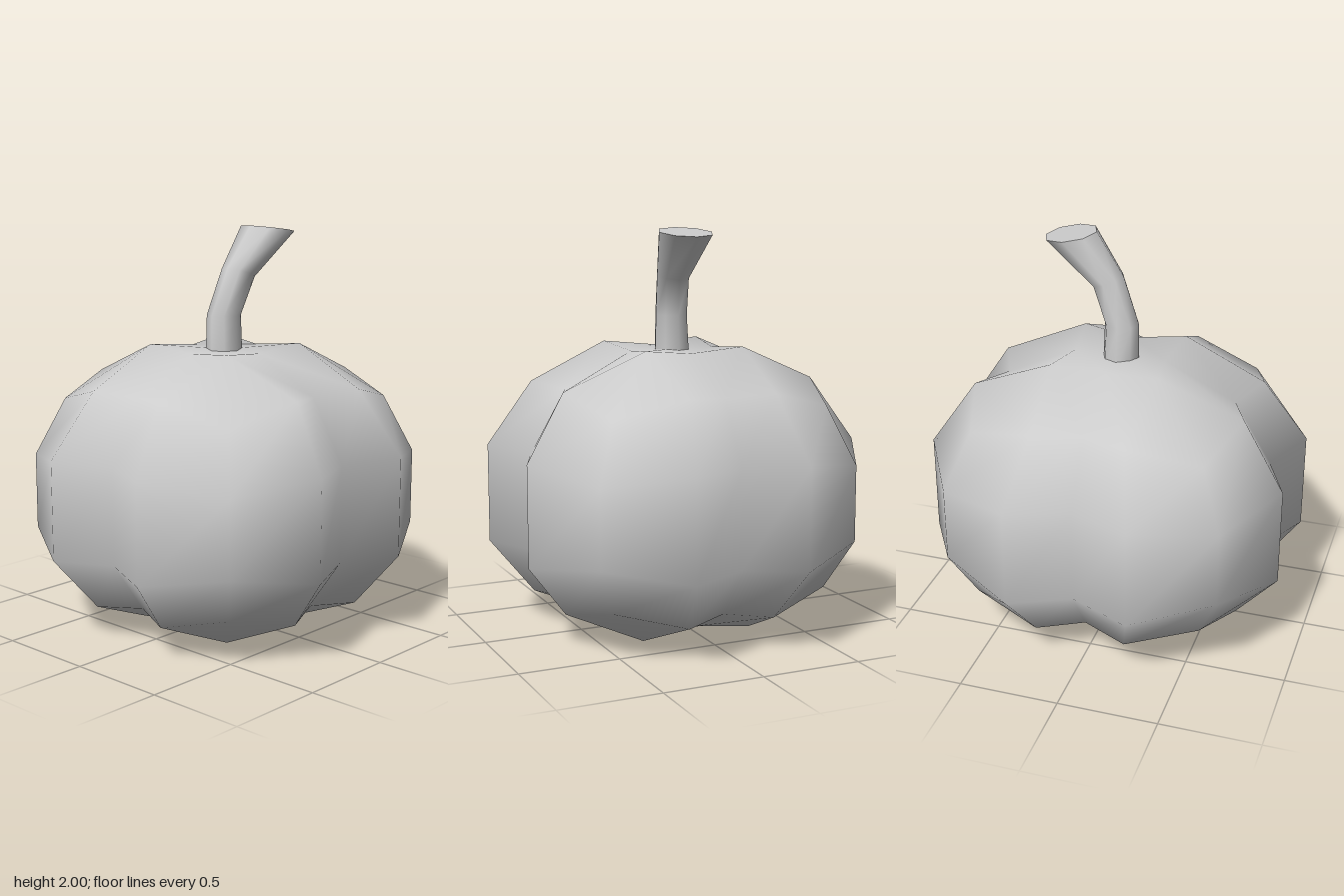
import * as THREE from 'three';
import { mergeVertices } from 'three/addons/utils/BufferGeometryUtils.js';

const material = new THREE.MeshStandardMaterial({ color: 0xcccccc });

// Weld split vertices, then shade smoothly
function smooth(geometry) {
  geometry.deleteAttribute('uv');
  const welded = mergeVertices(geometry, 1e-4);
  welded.computeVertexNormals();
  return welded;
}

// Body: a gridded box cast to a squat ball, pinched into four lobes
function createBody() {
  const geometry = new THREE.BoxGeometry(2, 2, 2, 4, 3, 4);
  geometry.deleteAttribute('normal');
  const pos = geometry.attributes.position;
  const third = 1 / 3;
  const snap = (v) => (Math.abs(v) > 0.9 ? Math.sign(v) : Math.abs(v) < 0.1 ? 0 : Math.sign(v) * third);
  for (let i = 0; i < pos.count; i++) {
    const x = snap(pos.getX(i)), y = snap(pos.getY(i)), z = snap(pos.getZ(i));
    const length = Math.hypot(Math.max(Math.abs(x), third), y, Math.max(Math.abs(z), third));
    const valley = x === 0 || z === 0;
    const crown = y === 1 && Math.abs(x) < 0.9 && Math.abs(z) < 0.9;
    const spread = (valley ? 0.86 : 1) * (crown ? 0.89 : 1) / length;
    const ny = y / length;
    const height = ny * (ny < -0.4 ? 0.748 : 0.82) * (valley ? 0.965 : 1);
    pos.setXYZ(i, x * spread * 0.967, 0.677 + height, z * spread * 0.995);
  }
  const body = new THREE.Mesh(smooth(geometry), material);
  body.name = 'lobedBody';
  return body;
}

// Stem: an eight-sided tube bending backwards and flaring to a flat cut
function createStem() {
  // centre x, y, z, radius x, radius z, slope of the ring along z
  const rings = [
    [0.048, 1.98, -0.262, 0.138, 0.13, 0.15],
    [0.025, 1.77, -0.068, 0.085, 0.078, 0.35],
    [0, 1.565, 0.01, 0.082, 0.087, 0],
    [-0.003, 1.33, 0.005, 0.092, 0.092, 0],
  ];
  const geometry = new THREE.CylinderGeometry(1, 1, 1, 8, 3);
  const pos = geometry.attributes.position;
  for (let i = 0; i < pos.count; i++) {
    const [cx, cy, cz, rx, rz, slope] = rings[Math.round((0.5 - pos.getY(i)) * 3)];
    const dz = pos.getZ(i) * rz;
    pos.setXYZ(i, cx + pos.getX(i) * rx, cy + slope * dz, cz + dz);
  }
  const stem = new THREE.Mesh(smooth(geometry), material);
  stem.name = 'stem';
  return stem;
}

export function createModel() {
  const group = new THREE.Group();
  group.name = 'pumpkin';
  group.add(createBody(), createStem());
  return group;
}
